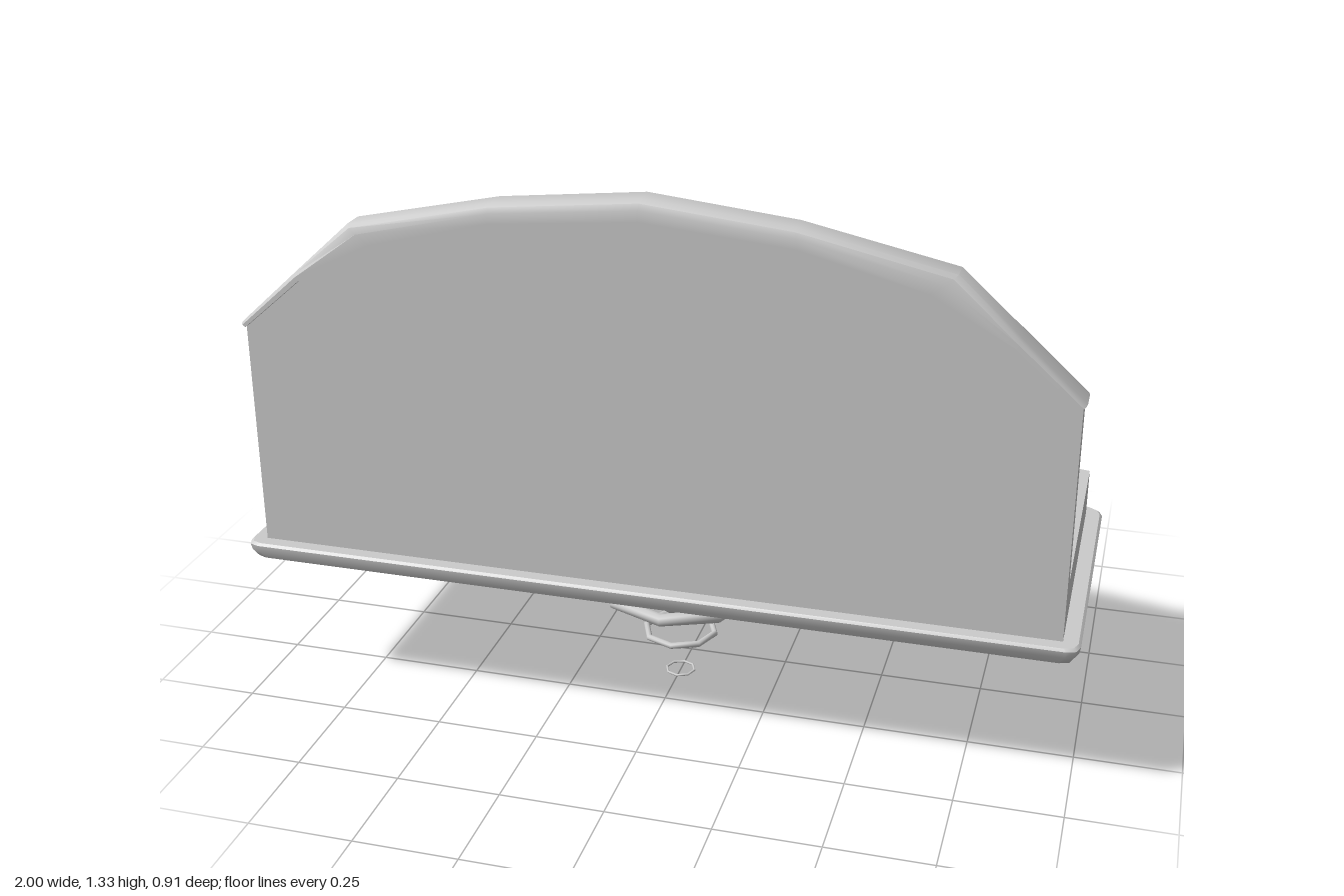
import * as THREE from 'three';
import { toCreasedNormals } from 'three/addons/utils/BufferGeometryUtils.js';

const material = new THREE.MeshStandardMaterial({ color: 0xcccccc });

function part(name, geometry) {
  const mesh = new THREE.Mesh(geometry, material);
  mesh.name = name;
  return mesh;
}

// Skin a row of closed loops of [x, y, z] points, with optional end caps.
function loft(loops, capStart = true, capEnd = true) {
  const pos = [];
  const tri = (a, b, c) => pos.push(...a, ...b, ...c);
  const n = loops[0].length;
  for (let i = 0; i < loops.length - 1; i++) {
    for (let j = 0; j < n; j++) {
      const k = (j + 1) % n;
      tri(loops[i][j], loops[i][k], loops[i + 1][k]);
      tri(loops[i][j], loops[i + 1][k], loops[i + 1][j]);
    }
  }
  const cap = (loop, flip) => {
    const mid = [0, 1, 2].map((a) => loop.reduce((s, p) => s + p[a], 0) / n);
    loop.forEach((p, j) => {
      const q = loop[(j + 1) % n];
      if (flip) tri(mid, q, p);
      else tri(mid, p, q);
    });
  };
  if (capStart) cap(loops[0], true);
  if (capEnd) cap(loops[loops.length - 1], false);
  const g = new THREE.BufferGeometry();
  g.setAttribute('position', new THREE.Float32BufferAttribute(pos, 3));
  return toCreasedNormals(g, 0.6);
}

// Mirror a half outline of [x, z] that starts on the centre line.
const mirrorOutline = (half) => [
  ...half,
  ...half.slice(1).reverse().map(([x, z]) => [-x, z]),
];
const atHeight = (outline, y) => outline.map(([x, z]) => [x, y, z]);

// Rim outline grown by d, with clipped corners.
const rimOutline = (d) => mirrorOutline([
  [0, -0.42 - 0.9 * d], [0.48, -0.365 - 0.9 * d],
  [0.93 + d, -0.257 - 0.8 * d], [0.952 + d, -0.246 - 0.7 * d], [0.96 + d, -0.225 - 0.7 * d],
  [0.96 + d, 0.39 + 0.9 * d], [0.952 + d, 0.412 + 0.9 * d], [0.93 + d, 0.42 + 0.9 * d],
]);

export function createModel() {
  const model = new THREE.Group();
  model.name = 'floatingBench';

  // Seat slab with a bowed edge
  const seat = mirrorOutline([[0, -0.42], [0.48, -0.365], [0.96, -0.25], [0.96, 0.42]]);
  model.add(part('seat', loft([atHeight(seat, 0.515), atHeight(seat, 0.38)])));

  // Rim under the seat, with a recessed underside: [outset, height]
  const rimProfile = [
    [-0.01, 0.4], [0.034, 0.4], [0.04, 0.394], [0.037, 0.378], [0.026, 0.358],
    [0.012, 0.351], [-0.014, 0.351], [-0.026, 0.356], [-0.036, 0.372],
  ];
  model.add(part('seatRim', loft(rimProfile.map(([d, y]) => atHeight(rimOutline(d), y)), false, true)));

  // Arch stations: [inner x, inner y, outer x, outer y]
  const halfArch = [
    [0, 1.285, 0, 1.332], [0.345, 1.253, 0.34, 1.296], [0.63, 1.18, 0.685, 1.222],
    [0.81, 1.08, 0.825, 1.095], [0.955, 0.955, 0.968, 0.964],
  ];
  const arch = [
    ...halfArch.slice(1).reverse().map(([a, b, c, d]) => [-a, b, -c, d]),
    ...halfArch,
  ];

  // Back panel, reaching up inside the trim
  const panel = new THREE.Shape();
  panel.moveTo(-0.96, 0.515);
  panel.lineTo(0.96, 0.515);
  [...arch].reverse().forEach(([xi, yi, xo, yo]) =>
    panel.lineTo(THREE.MathUtils.clamp((xi + xo) / 2, -0.96, 0.96), (yi + yo) / 2));
  const panelGeometry = new THREE.ExtrudeGeometry(panel, { depth: 0.06, bevelEnabled: false });
  panelGeometry.translate(0, 0, 0.36);
  model.add(part('backPanel', panelGeometry));

  // Rounded trim along the arch: [share of thickness, z]
  const trimSection = [
    [0, 0.342], [0.55, 0.342], [0.85, 0.348], [1, 0.362],
    [1, 0.416], [0.85, 0.43], [0.55, 0.436], [0, 0.436],
  ];
  model.add(part('archTrim', loft(arch.map(([xi, yi, xo, yo]) =>
    trimSection.map(([t, z]) => [xi + (xo - xi) * t, yi + (yo - yi) * t, z])))));

  // Fillet between seat and back
  const fillet = [[0.34, 0.515], [0.348, 0.517], [0.355, 0.521], [0.359, 0.527], [0.36, 0.535], [0.36, 0.515]];
  model.add(part('seatFillet', loft([-0.96, 0.96].map((x) => fillet.map(([z, y]) => [x, y, z])))));

  // Hover core: a ball and three shrinking eight-sided rings
  const core = new THREE.Group();
  core.name = 'hoverCore';
  core.position.z = 0.106;
  const ball = part('ball', new THREE.SphereGeometry(0.077, 24, 16));
  ball.position.y = 0.245;
  core.add(ball);
  [[0.242, 0.184, 0.016], [0.118, 0.089, 0.008], [0.003, 0.036, 0.003]].forEach(([y, radius, tube], i) => {
    const ring = part(`ring${i + 1}`, new THREE.TorusGeometry(radius, tube, 10, 8));
    ring.rotation.x = Math.PI / 2;
    ring.position.y = y;
    core.add(ring);
  });
  model.add(core);

  return model;
}
